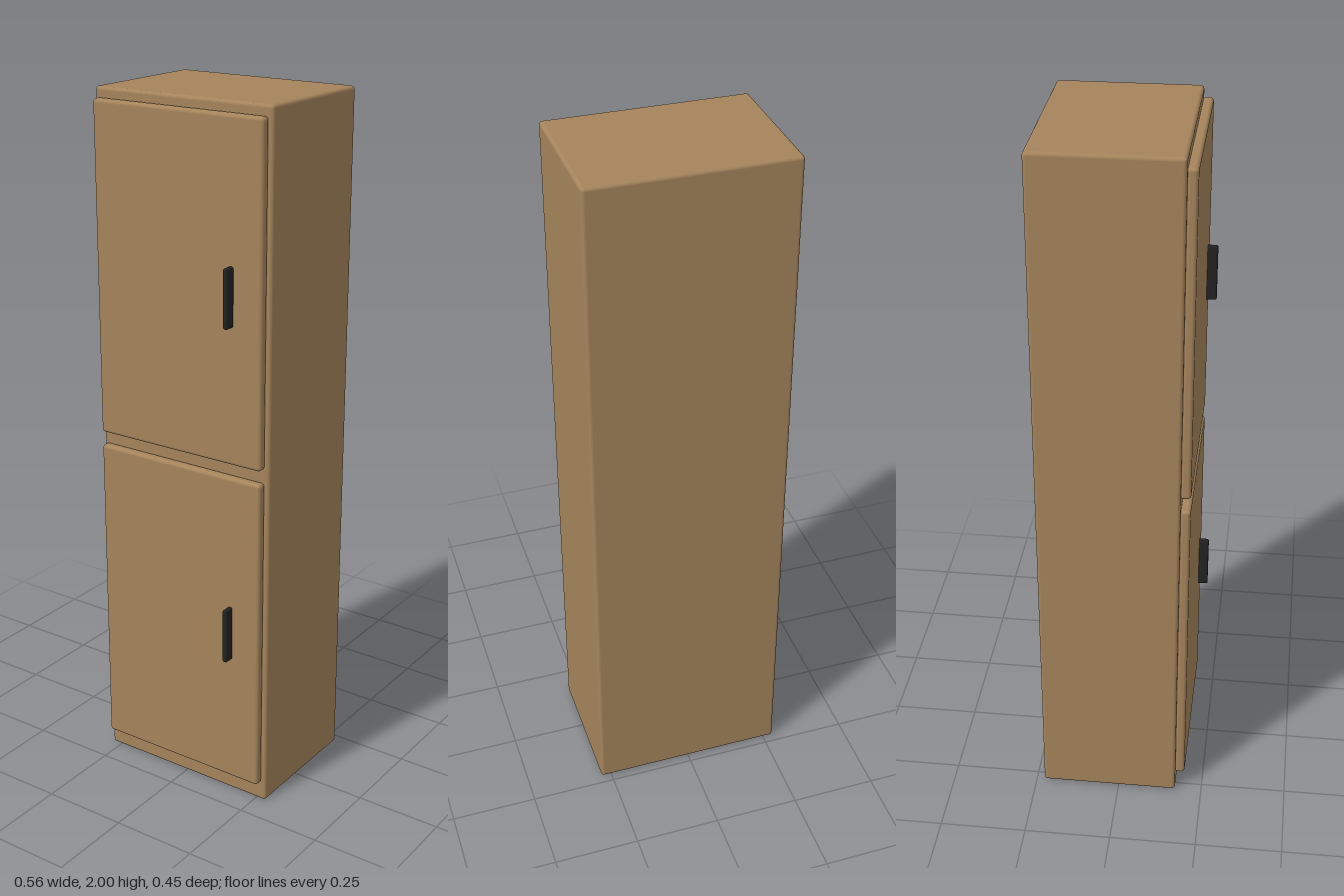
import * as THREE from 'three';
import { RoundedBoxGeometry } from 'three/addons/geometries/RoundedBoxGeometry.js';

export function createModel() {
  const model = new THREE.Group();
  model.name = 'tallCabinet';

  const wood = new THREE.MeshStandardMaterial({ color: 0xa5845c });
  wood.name = 'wood';
  const black = new THREE.MeshStandardMaterial({ color: 0x222222 });
  black.name = 'blackHandle';

  // Rounded box given by its minimum and maximum corners
  const box = (name, material, min, max, radius) => {
    const size = max.map((v, i) => v - min[i]);
    const mesh = new THREE.Mesh(new RoundedBoxGeometry(...size, 4, radius), material);
    mesh.position.set(...max.map((v, i) => (v + min[i]) / 2));
    mesh.name = name;
    model.add(mesh);
  };

  // Carcass
  box('cabinetBody', wood, [-0.281, 0, -0.227], [0.281, 2, 0.171], 0.01);

  // Two stacked doors, each with a vertical pull on the model's left
  const doors = [
    { name: 'lower', y: [0.06, 0.998], pull: [0.447, 0.61] },
    { name: 'upper', y: [1.036, 1.972], pull: [1.422, 1.585] },
  ];
  for (const { name, y, pull } of doors) {
    box(name + 'Door', wood, [-0.27, y[0], 0.169], [0.269, y[1], 0.198], 0.01);
    box(name + 'DoorHandle', black, [0.167, pull[0], 0.19], [0.182, pull[1], 0.227], 0.006);
  }

  return model;
}
